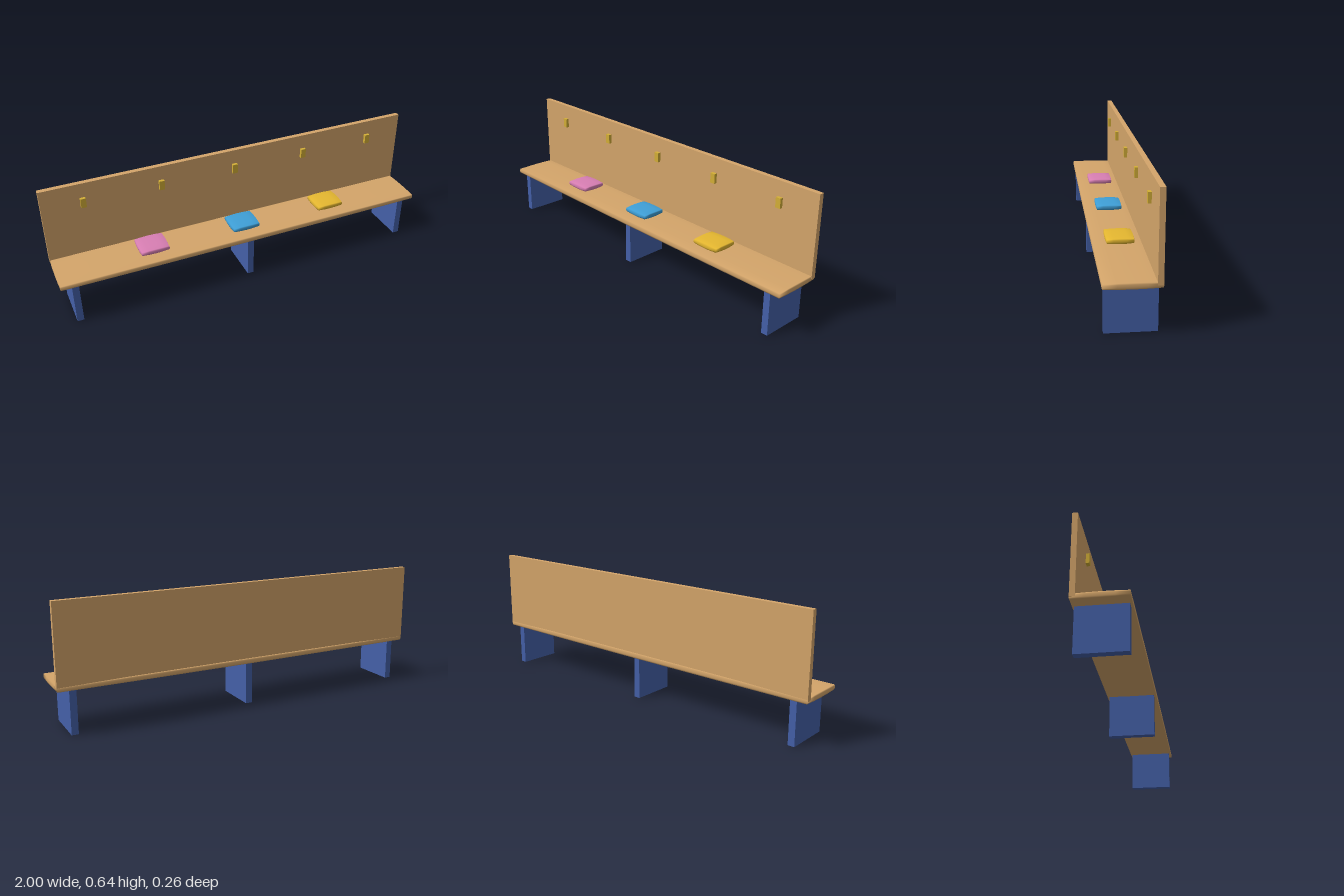
import * as THREE from 'three';
import { mergeVertices } from 'three/addons/utils/BufferGeometryUtils.js';

const paint = (color) => new THREE.MeshStandardMaterial({ color });
const WOOD = paint(0xd4a56a);
const BLUE = paint(0x4460a8);
const BRASS = paint(0xd4af37);

export function createModel() {
  const model = new THREE.Group();

  const add = (name, geometry, material, x, y, z) => {
    const mesh = new THREE.Mesh(geometry, material);
    mesh.name = name;
    mesh.position.set(x, y, z);
    model.add(mesh);
  };

  // Softly swollen slab: every face bulges, edges and corners are drawn in
  const pillow = (w, h, d, inset) => {
    let g = new THREE.BoxGeometry(2, 2, 2, 4, 4, 4);
    g.deleteAttribute('normal');
    g.deleteAttribute('uv');
    g = mergeVertices(g);
    const p = g.attributes.position;
    for (let i = 0; i < p.count; i++) {
      const u = p.getX(i), v = p.getY(i), t = p.getZ(i);
      p.setXYZ(i,
        u * (w / 2 - inset * (v * v + t * t) / 2),
        v * (h / 2 - inset * (u * u + t * t) / 2),
        t * (d / 2 - inset * (u * u + v * v) / 2));
    }
    g.computeVertexNormals();
    return g;
  };

  // Seat and backrest
  add('seat', pillow(2, 0.032, 0.256, 0.004), WOOD, 0, 0.232, 0);
  add('backrest', new THREE.BoxGeometry(2, 0.411, 0.025), WOOD, 0, 0.4365, -0.1125);

  // Panel legs
  for (const x of [-0.925, 0, 0.925]) {
    add('leg', new THREE.BoxGeometry(0.034, 0.217, 0.23), BLUE, x, 0.1085, 0);
  }

  // Cushions
  const cushion = pillow(0.152, 0.03, 0.134, 0.005);
  [0xd97fb4, 0x3fa0d8, 0xe6b830].forEach((color, i) => {
    add('cushion', cushion, paint(color), (i - 1) * 0.5, 0.263, 0);
  });

  // Coat pegs
  for (let i = -2; i <= 2; i++) {
    add('peg', new THREE.BoxGeometry(0.027, 0.05, 0.016), BRASS, i * 0.398, 0.54, -0.092);
  }

  return model;
}
